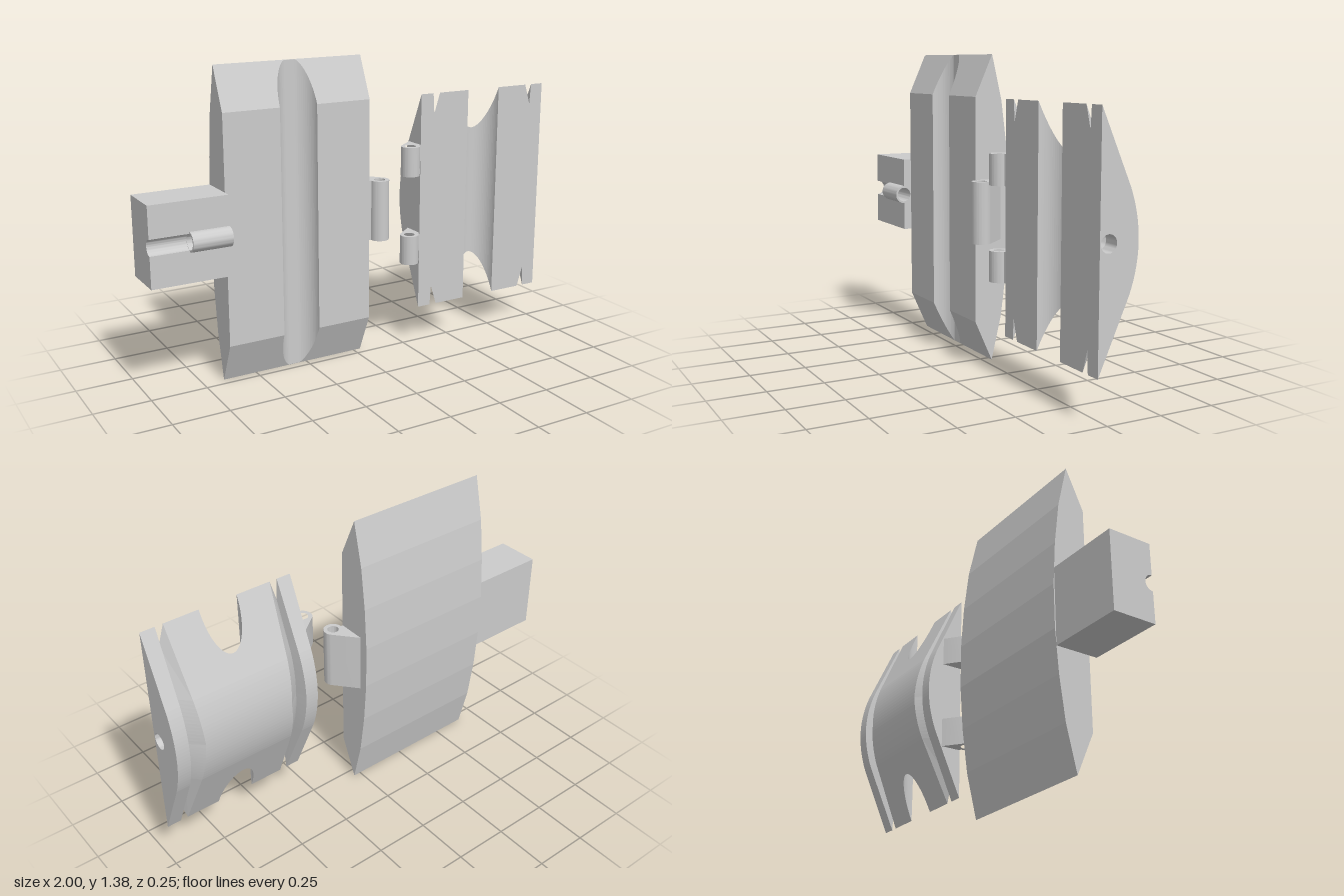
import * as THREE from 'three';
import { toCreasedNormals } from 'three/addons/utils/BufferGeometryUtils.js';

const MID = 0.695;      // height of the horizontal centre line
const FRONT = 0.043;    // z of the flat front faces
const BORE = 0.087;     // radius of the half-round channels
const grey = new THREE.MeshStandardMaterial({ color: 0xcccccc });
const openGrey = new THREE.MeshStandardMaterial({ color: 0xcccccc, side: THREE.DoubleSide });

function add(parent, name, geometry, material = grey) {
  const mesh = new THREE.Mesh(geometry, material);
  mesh.name = name;
  parent.add(mesh);
  return mesh;
}

// Skin closed rings of [x, y, z], ordered along +x, with flat facets
function loft(rings, capEnd = true) {
  const pos = [];
  const tri = (...pts) => pts.forEach(p => pos.push(...p));
  const n = rings[0].length;
  for (let i = 0; i < rings.length - 1; i++) {
    for (let j = 0; j < n; j++) {
      const k = (j + 1) % n;
      const a = rings[i][j], b = rings[i][k], c = rings[i + 1][k], d = rings[i + 1][j];
      tri(a, b, c);
      tri(a, c, d);
    }
  }
  const first = rings[0], last = rings[rings.length - 1];
  for (let j = 1; j < n - 1; j++) {
    tri(first[0], first[j + 1], first[j]);
    if (capEnd) tri(last[0], last[j], last[j + 1]);
  }
  const g = new THREE.BufferGeometry();
  g.setAttribute('position', new THREE.Float32BufferAttribute(pos, 3));
  g.computeVertexNormals();
  return g;
}

// Stations across a half-round channel: [x, front z]
function channel(cx, steps = 32) {
  return Array.from({ length: steps + 1 }, (_, i) => {
    const a = Math.PI * i / steps;
    return [cx - BORE * Math.cos(a), FRONT - BORE * Math.sin(a)];
  });
}

// Wide plate: bevelled ends, faceted bowed back, channel in front
function widePlate() {
  const half = [[0.69, -0.04], [0.49, -0.087], [0.295, -0.112], [0.1, -0.125]];
  const stations = [[-0.655, FRONT], ...channel(-0.31), [0.035, FRONT]];
  return loft(stations.map(([x, zf]) => {
    const z = Math.max(zf, -0.0395);
    const h = 0.69 - 0.185 * (z + 0.04) / (FRONT + 0.04);
    const lower = [[h, z], ...half];
    return [
      ...lower.map(([d, pz]) => [x, MID - d, pz]),
      ...lower.reverse().map(([d, pz]) => [x, MID + d, pz]),
    ];
  }));
}

// Saddle plate back: straight slopes meeting a rounded crest
const KNEE = 0.205, END = 0.505;
function backZ(h) {
  return h < KNEE ? -0.13 + 0.95 * h * h : -0.09 + (h - KNEE) / (END - KNEE) * (FRONT + 0.09);
}

function saddleRing({ x0, x1 = x0, d0 = 0, d1 = d0, front = FRONT }) {
  const crest = h => 1 - h / END;
  const z = h => backZ(h) + d0 + (d1 - d0) * crest(h);
  let lo = 0, hi = END;
  for (let i = 0; i < 40; i++) {
    const m = (lo + hi) / 2;
    if (z(m) < front) lo = m; else hi = m;
  }
  const hs = [-hi];
  for (let i = 0; i <= 24; i++) hs.push(KNEE * (i / 12 - 1));
  hs.push(hi);
  return hs.map(s => {
    const h = Math.abs(s);
    return [x0 + (x1 - x0) * crest(h), MID + s, z(h)];
  });
}

function saddlePlate() {
  // End flange, V groove over the back, then the body
  const side = [
    { x0: 0.305 },
    { x0: 0.37, x1: 0.365 },
    { x0: 0.376, d0: 0.037, d1: 0.06 },
    { x0: 0.405, x1: 0.44 },
  ];
  const mirrored = side.map(s => ({
    ...s, x0: 1.3 - s.x0, x1: 1.3 - (s.x1 ?? s.x0),
  })).reverse();
  const middle = channel(0.65).map(([x0, front]) => ({ x0, front }));
  return [...side, ...middle, ...mirrored].map(saddleRing);
}

// Hinge knuckle with a sloping arm; dir is the side it reaches towards
function knuckle(cx, dir, edge, backEdge, y0, y1) {
  const r = 0.043, cz = 0.043;
  const pts = [new THREE.Vector2(edge, -cz + 0.002)];
  for (let i = 0; i <= 28; i++) {
    const a = Math.PI * (1 + 1.24 * i / 28);
    pts.push(new THREE.Vector2(cx + dir * r * Math.cos(a), -cz + r * Math.sin(a)));
  }
  pts.push(new THREE.Vector2(edge, -backEdge));
  const shape = new THREE.Shape(pts);
  shape.holes.push(new THREE.Path().absarc(cx, -cz, 0.025, 0, Math.PI * 2, true));
  const g = new THREE.ExtrudeGeometry(shape, { depth: y1 - y0, bevelEnabled: false, curveSegments: 16 });
  g.rotateX(-Math.PI / 2).translate(0, y0, 0);
  return toCreasedNormals(g, 0.5);
}

// Extrude a (-z, y) outline along x
function alongX(shape, x0, x1) {
  const g = new THREE.ExtrudeGeometry(shape, { depth: x1 - x0, bevelEnabled: false, curveSegments: 20 });
  g.rotateY(Math.PI / 2).translate(x0, 0, 0);
  return toCreasedNormals(g, 0.5);
}

export function createModel() {
  const model = new THREE.Group();
  model.name = 'hingedMould';

  // Wide plate with its single knuckle
  const wide = new THREE.Group();
  wide.name = 'widePlateAssembly';
  add(wide, 'widePlate', widePlate());
  add(wide, 'centreKnuckle', knuckle(0.088, 1, 0.035, -0.085, 0.56, 0.835));

  // Side block with a half-round channel along its front
  const block = new THREE.Shape();
  block.moveTo(0.12, 0.52);
  block.lineTo(0.12, 0.87);
  block.lineTo(-0.08, 0.87);
  block.lineTo(-0.08, MID + 0.035);
  block.absarc(-0.08, MID, 0.035, Math.PI / 2, -Math.PI / 2, true);
  block.lineTo(-0.08, 0.52);
  add(wide, 'sideBlock', alongX(block, -1, -0.655));

  // Thin sleeve lying in the channel
  const ring = new THREE.Shape().absarc(-0.081, MID, 0.043, 0, Math.PI * 2, false);
  ring.holes.push(new THREE.Path().absarc(-0.081, MID, 0.034, 0, Math.PI * 2, true));
  add(wide, 'sleeve', alongX(ring, -0.83, -0.655));
  model.add(wide);

  // Saddle plate with a drilled end face
  const saddle = new THREE.Group();
  saddle.name = 'saddlePlateAssembly';
  const rings = saddlePlate();
  add(saddle, 'saddlePlate', loft(rings, false));
  const face = new THREE.Shape(rings[rings.length - 1].map(([, y, z]) => new THREE.Vector2(-z, y)));
  face.holes.push(new THREE.Path().absarc(-0.003, MID, 0.036, 0, Math.PI * 2, true));
  add(saddle, 'drilledEndFace', new THREE.ShapeGeometry(face, 16).rotateY(Math.PI / 2))
    .position.x = 0.995;
  const drill = [[0, -0.09], [0.036, -0.07], [0.036, 0]].map(p => new THREE.Vector2(...p));
  const hole = new THREE.LatheGeometry(drill, 32).rotateZ(-Math.PI / 2);
  add(saddle, 'drilledHole', toCreasedNormals(hole, 0.5), openGrey).position.set(0.995, MID, 0.003);

  // Pair of knuckles either side of the centre one
  [[0.42, 0.555, 'lowerKnuckle'], [0.835, 0.97, 'upperKnuckle']].forEach(([y0, y1, name]) =>
    add(saddle, name, knuckle(0.25, -1, 0.306, -0.055, y0, y1)));
  model.add(saddle);

  return model;
}
